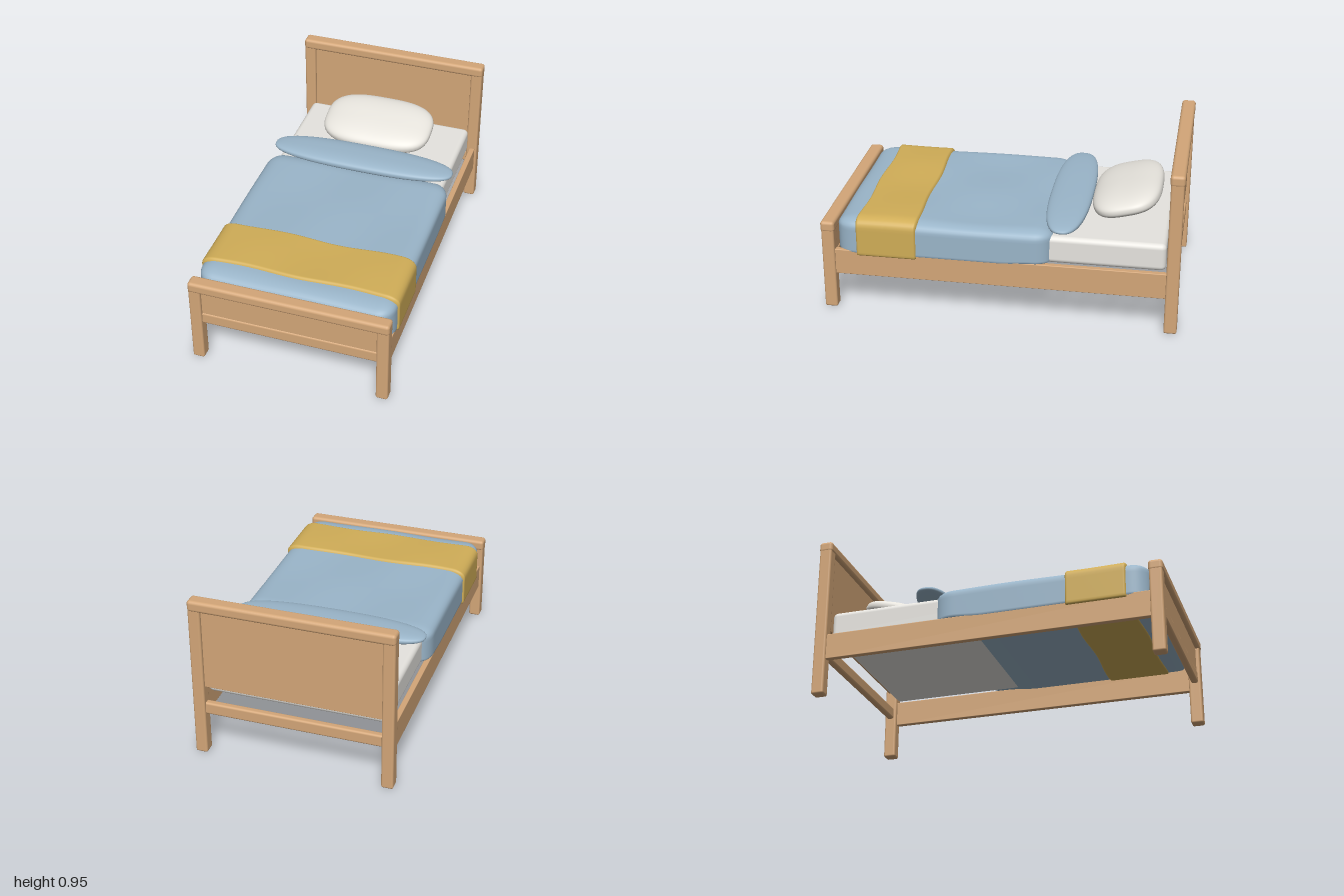
import * as THREE from 'three';
import { mergeVertices } from 'three/addons/utils/BufferGeometryUtils.js';
import { RoundedBoxGeometry } from 'three/addons/geometries/RoundedBoxGeometry.js';

const flat = (name, color) => Object.assign(new THREE.MeshStandardMaterial({ color }), { name });

// Box between two corners with softly rounded edges
function block(name, material, [x0, y0, z0], [x1, y1, z1], radius) {
  const mesh = new THREE.Mesh(new RoundedBoxGeometry(x1 - x0, y1 - y0, z1 - z0, 4, radius), material);
  mesh.position.set((x0 + x1) / 2, (y0 + y1) / 2, (z0 + z1) / 2);
  mesh.name = name;
  return mesh;
}

// Welds a geometry, moves every vertex by a rule and smooths it
function shaped(name, material, source, rule) {
  source.deleteAttribute('uv');
  source.deleteAttribute('normal');
  const geometry = mergeVertices(source);
  const pos = geometry.attributes.position;
  const p = new THREE.Vector3();
  for (let i = 0; i < pos.count; i++) {
    rule(p.fromBufferAttribute(pos, i));
    pos.setXYZ(i, p.x, p.y, p.z);
  }
  geometry.computeVertexNormals();
  const mesh = new THREE.Mesh(geometry, material);
  mesh.name = name;
  return mesh;
}

// Draped cloth: a finely divided box, rounded on top and at the corners, crisp at the hem
function drape(name, material, min, max, radii, ripple) {
  return shaped(name, material, new THREE.BoxGeometry(2, 2, 2, 48, 16, 48), (p) => {
    const core = [], bend = [];
    const radius = [radii[0], p.y < 0 ? 0.006 : radii[1], radii[2]];
    p.toArray().forEach((t, a) => {
      const half = (max[a] - min[a]) / 2;
      const v = Math.sign(t) * (1 - Math.pow(Math.max(0, 1 - Math.abs(t)), 1.6)) * half;
      const inner = half - radius[a];
      core[a] = Math.max(-inner, Math.min(inner, v));
      bend[a] = (v - core[a]) / radius[a];
    });
    const length = Math.hypot(...bend) || 1;
    p.fromArray(core.map((c, a) => (min[a] + max[a]) / 2 + c + bend[a] / length * radius[a]));
    ripple(p);
    p.y += 0.005 * Math.sin(p.x * 9 + 1) * Math.cos(p.z * 7 - 0.9) * Math.max(0, p.y - 0.45) / 0.1;
  });
}

// Plump flattened ball with a squarish outline seen from above
function cushion(name, material, a, b, c, power) {
  return shaped(name, material, new THREE.SphereGeometry(1, 64, 40), (p) => {
    const r = Math.hypot(p.x, p.z);
    const k = r < 1e-6 ? 0 : Math.pow(r, 0.8)
      * Math.pow(Math.abs(p.x / r) ** power + Math.abs(p.z / r) ** power, -1 / power) / r;
    p.set(p.x * k * a, Math.sign(p.y) * Math.pow(Math.abs(p.y), 0.8) * b, p.z * k * c);
  });
}

export function createModel() {
  const bed = new THREE.Group();
  bed.name = 'bed';
  const wood = flat('wood', 0xd3a678);
  const sheet = flat('sheet', 0xe6e4df);
  const linen = flat('pillow linen', 0xe9e6df);
  const blue = flat('blue duvet', 0x9ab5c9);
  const ochre = flat('ochre throw', 0xd0ad57);

  // Head and foot ends: two posts, top rail, panel and lower rail each
  const end = (name, side, top, panelBottom) => {
    const group = new THREE.Group();
    group.name = name;
    const add = (part, x0, y0, x1, y1, depth, radius) => group.add(block(part, wood,
      [x0, y0, side * 0.96 - depth / 2], [x1, y1, side * 0.96 + depth / 2], radius));
    add('leftPost', 0.497, 0, 0.565, top - 0.03, 0.072, 0.012);
    add('rightPost', -0.565, 0, -0.497, top - 0.03, 0.072, 0.012);
    add('topRail', -0.567, top - 0.064, 0.567, top, 0.08, 0.018);
    add('panel', -0.51, panelBottom, 0.51, top - 0.04, 0.03, 0.003);
    add('lowerRail', -0.51, 0.248, 0.51, 0.32, 0.04, 0.012);
    bed.add(group);
  };
  end('headboard', -1, 0.949, 0.42);
  end('footboard', 1, 0.532, 0.31);

  // Side rails
  for (const [name, s] of [['leftSideRail', 1], ['rightSideRail', -1]]) {
    bed.add(block(name, wood, [s * 0.535 - 0.016, 0.21, -0.935], [s * 0.535 + 0.016, 0.36, 0.935], 0.004));
  }

  // Mattress
  bed.add(block('mattress', sheet, [-0.51, 0.352, -0.917], [0.51, 0.512, 0.912], 0.03));

  // Duvet, with its hem lifting toward the head
  bed.add(drape('duvet', blue, [-0.554, 0.343, -0.295], [0.554, 0.549, 0.917], [0.09, 0.05, 0.11], (p) => {
    p.y += 0.014 * THREE.MathUtils.smoothstep(-p.z, 0, 0.2) * Math.max(0, 0.45 - p.y) / 0.107;
  }));

  // Folded duvet cuff
  const cuff = cushion('duvetCuff', blue, 0.55, 0.038, 0.122, 2.6);
  cuff.position.set(0, 0.562, -0.345);
  bed.add(cuff);

  // Throw blanket across the foot, with wavy edges
  bed.add(drape('throwBlanket', ochre, [-0.564, 0.335, 0.452], [0.564, 0.563, 0.802], [0.08, 0.05, 0.02], (p) => {
    p.z += 0.006 * Math.sin(p.x * 11 + (p.z > 0.63 ? 1.8 : 0));
  }));

  // Pillow leaning toward the headboard
  const pillow = cushion('pillow', linen, 0.332, 0.068, 0.2, 3);
  pillow.position.set(0, 0.607, -0.665);
  pillow.rotation.x = 0.25;
  bed.add(pillow);

  return bed;
}
